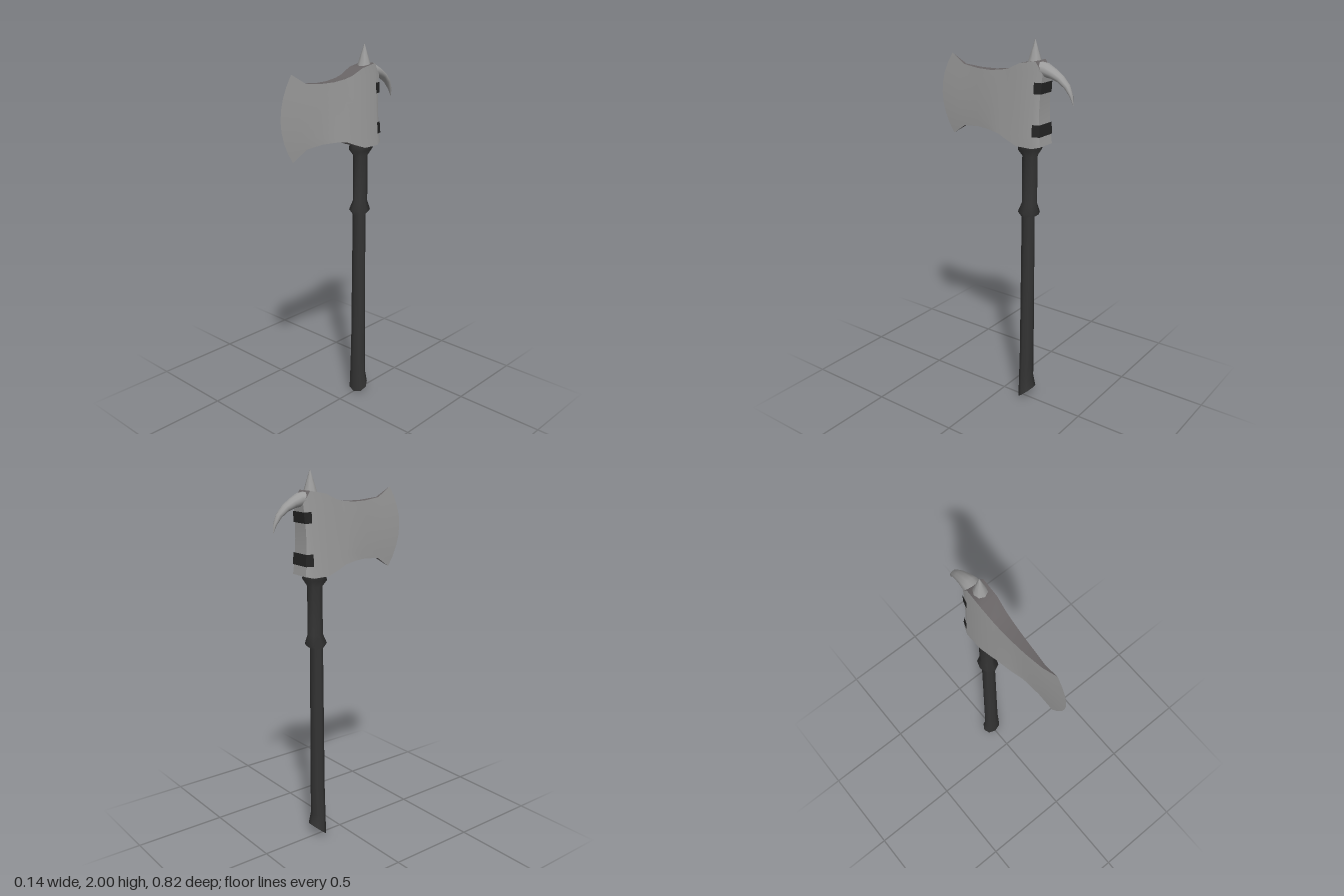
import * as THREE from 'three';

const material = (name, color) => {
  const m = new THREE.MeshStandardMaterial({ color });
  m.name = name;
  return m;
};

// Smooth surface through rows of [x, y, z] points; outside is (along row) x (across rows)
function surface(rows, closed = false) {
  const n = rows[0].length, index = [];
  for (let i = 0; i < rows.length - 1; i++) {
    for (let j = 0; j < (closed ? n : n - 1); j++) {
      const k = (j + 1) % n;
      const a = i * n + j, b = i * n + k, c = a + n, d = b + n;
      index.push(a, b, d, a, d, c);
    }
  }
  const g = new THREE.BufferGeometry();
  g.setAttribute('position', new THREE.Float32BufferAttribute(rows.flat(2), 3));
  g.setIndex(index);
  g.computeVertexNormals();
  return g;
}

const range = (n, f) => Array.from({ length: n }, (_, i) => f(i));
const lerp = THREE.MathUtils.lerp;

// Blade stations: z, bottom y, top y, half width at bottom, half width at top, bulge along z
const stations = [
  [-0.255, 1.485, 1.84, 0.055, 0.04, 0.012],
  [-0.215, 1.475, 1.90, 0.07, 0.045, 0],
  [-0.12, 1.475, 1.882, 0.068, 0.045, 0],
  [-0.05, 1.50, 1.85, 0.061, 0.038, 0],
  [0.0, 1.52, 1.838, 0.055, 0.034, 0],
  [0.07, 1.53, 1.83, 0.045, 0.028, 0],
  [0.15, 1.53, 1.83, 0.024, 0.021, 0.01],
  [0.25, 1.52, 1.84, 0.013, 0.009, 0.045],
  [0.335, 1.465, 1.89, 0, 0, 0.075],
];
function bladePoint([z, yb, yt, wb, wt, bulge], v, side) {
  return [side * lerp(wb, wt, v), lerp(yb, yt, v), z + bulge * (1 - (2 * v - 1) ** 2)];
}

export function createModel() {
  const steel = material('steel', 0x9c9c9c);
  const darkSteel = material('dark steel', 0x686465);
  const grip = material('dark grip', 0x343434);
  const strapDark = material('strap', 0x242424);

  const model = new THREE.Group();
  model.name = 'axe';
  const add = (parent, name, geometry, mat) => {
    const mesh = new THREE.Mesh(geometry, mat);
    mesh.name = name;
    parent.add(mesh);
    return mesh;
  };

  // Handle: front y, back y, half width, front z, back z
  const handleRings = [
    [0.0, 0.07, 0.06, -0.118, -0.2],
    [0.13, 0.13, 0.05, -0.118, -0.187],
    [0.3, 0.3, 0.044, -0.119, -0.19],
    [1.09, 1.09, 0.036, -0.12, -0.187],
    [1.12, 1.115, 0.052, -0.095, -0.22],
    [1.17, 1.165, 0.036, -0.118, -0.203],
    [1.42, 1.42, 0.036, -0.118, -0.203],
    [1.45, 1.46, 0.06, -0.095, -0.228],
    [1.485, 1.485, 0.06, -0.105, -0.222],
  ].map(([yf, yb, w, zf, zb]) => range(8, (j) => {
    const a = (j / 8) * Math.PI * 2, t = (1 - Math.cos(a)) / 2;
    return [w * Math.sin(a), lerp(yf, yb, t), lerp(zf, zb, t)];
  }));
  const handle = new THREE.Group();
  handle.name = 'handle';
  model.add(handle);
  add(handle, 'shaft', surface(handleRings, true), grip);
  const pommel = range(8, () => [0, 0.035, -0.159]);
  add(handle, 'pommelCap', surface([pommel, handleRings[0]], true), grip);

  // Axe head: two cheeks, ridge, underside and back
  const head = new THREE.Group();
  head.name = 'head';
  model.add(head);
  const steps = range(9, (i) => i / 8);
  for (const [name, side] of [['leftCheek', 1], ['rightCheek', -1]]) {
    const vs = side > 0 ? steps : [...steps].reverse();
    add(head, name, surface(stations.map((s) => vs.map((v) => bladePoint(s, v, side)))), steel);
  }
  add(head, 'topRidge', surface(stations.map((s) => [1, -1].map((x) => bladePoint(s, 1, x)))), darkSteel);
  add(head, 'underside', surface(stations.map((s) => [-1, 1].map((x) => bladePoint(s, 0, x)))), darkSteel);
  add(head, 'backFace', surface(steps.map((v) => [1, -1].map((x) => bladePoint(stations[0], v, x)))), steel);

  // Curved rear hook: z, y, half width, half thickness
  const hook = [
    [-0.19, 1.862, 0.044, 0.036],
    [-0.25, 1.856, 0.043, 0.034],
    [-0.29, 1.842, 0.035, 0.026],
    [-0.33, 1.822, 0.028, 0.02],
    [-0.37, 1.787, 0.02, 0.015],
    [-0.394, 1.745, 0.011, 0.008],
    [-0.406, 1.7, 0, 0],
  ];
  const hookRings = hook.map(([z, y, w, h], i) => {
    const p = hook[Math.max(i - 1, 0)], q = hook[Math.min(i + 1, hook.length - 1)];
    const len = Math.hypot(q[0] - p[0], q[1] - p[1]);
    const tz = (q[0] - p[0]) / len, ty = (q[1] - p[1]) / len;
    return range(10, (j) => {
      const a = (j / 10) * Math.PI * 2, s = h * Math.sin(a);
      return [w * Math.cos(a), y + tz * s, z - ty * s];
    });
  });
  add(head, 'rearHook', surface(hookRings, true), steel);

  // Top spike
  const profile = [[0.044, 1.865], [0.032, 1.9], [0.018, 1.945], [0, 2]];
  const spike = add(head, 'topSpike',
    new THREE.LatheGeometry(profile.map(([r, y]) => new THREE.Vector2(r, y)), 8), steel);
  spike.position.z = -0.183;

  // Straps wrapped round the back of the head
  const strapRow = (y) => [[1, 1], [0, 1], [0, -1], [1, -1]].map(([i, side]) => {
    const s = stations[i];
    const p = bladePoint(s, (y - s[1]) / (s[2] - s[1]), side);
    return [p[0] + side * 0.004, y, p[2] - (i ? 0 : 0.005)];
  });
  for (const [name, y0, y1] of [['lowerStrap', 1.535, 1.595], ['upperStrap', 1.745, 1.8]]) {
    const g = surface([strapRow(y0), strapRow(y1)]).toNonIndexed();
    g.computeVertexNormals();
    add(head, name, g, strapDark);
  }

  return model;
}
